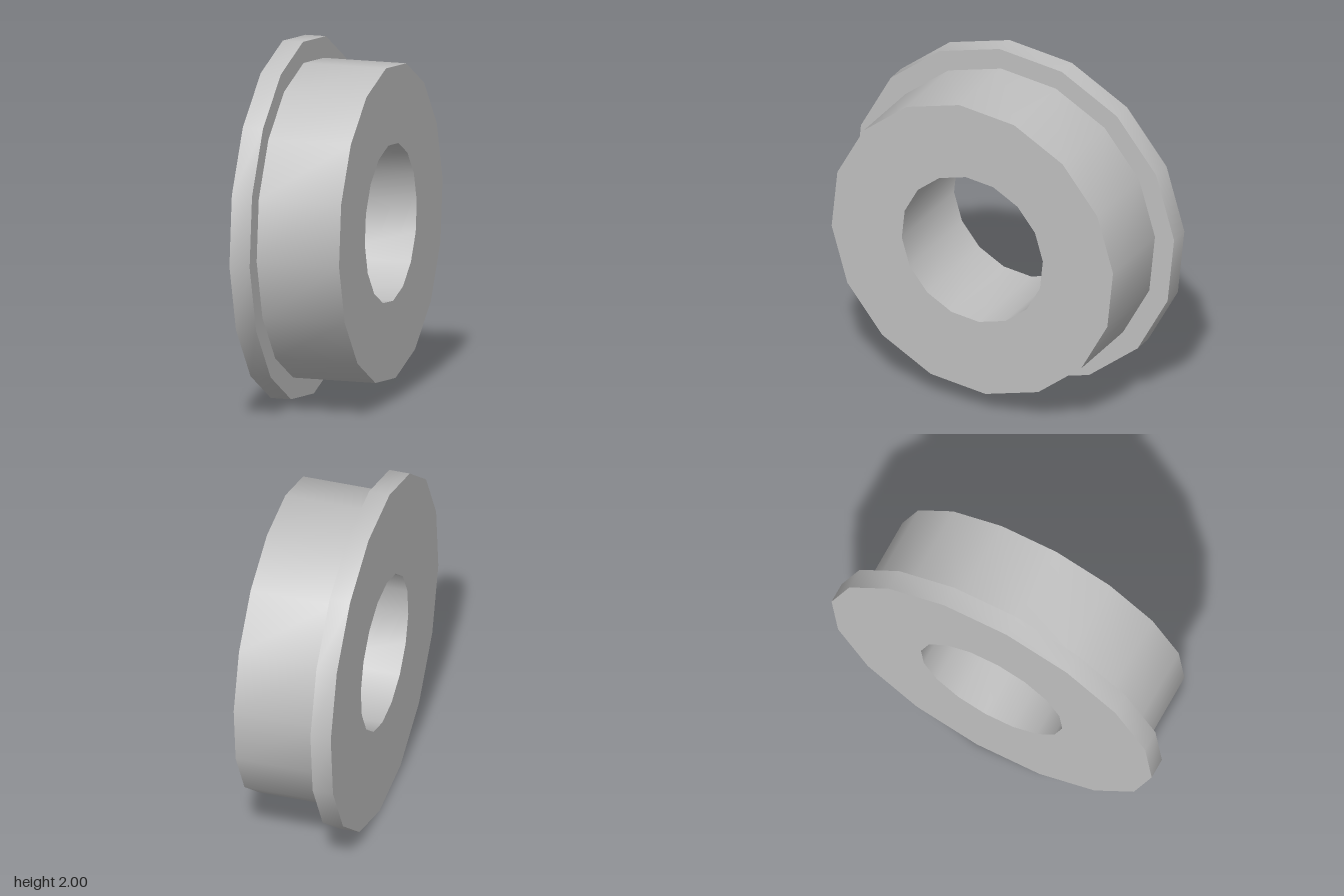
import * as THREE from 'three';
import { toCreasedNormals } from 'three/addons/utils/BufferGeometryUtils.js';

const SIDES = 16;
const TURN = THREE.MathUtils.degToRad(5.3); // slight roll of the 16-sided section

export function createModel() {
  const group = new THREE.Group();
  group.name = 'flangedBushing';

  const metal = new THREE.MeshStandardMaterial({ color: 0xc0c0c0 });
  metal.name = 'light grey metal';

  const boreR = 0.443, barrelR = 0.884, flangeR = 1.004;
  const back = -0.297, step = -0.18, front = 0.297;

  // Closed section: flange face, rim, shoulder, barrel, end face, bore
  const section = [
    [boreR, back], [flangeR, back], [flangeR, step],
    [barrelR, step], [barrelR, front], [boreR, front], [boreR, back],
  ].map(([r, h]) => new THREE.Vector2(r, h));

  // Smooth round walls, sharp edges at the faces
  const geometry = toCreasedNormals(
    new THREE.LatheGeometry(section, SIDES, TURN, Math.PI * 2), Math.PI / 4);
  geometry.rotateZ(-Math.PI / 2); // lay the axis along x
  geometry.translate(0, 1, 0);

  const body = new THREE.Mesh(geometry, metal);
  body.name = 'flangedRing';
  group.add(body);
  return group;
}
